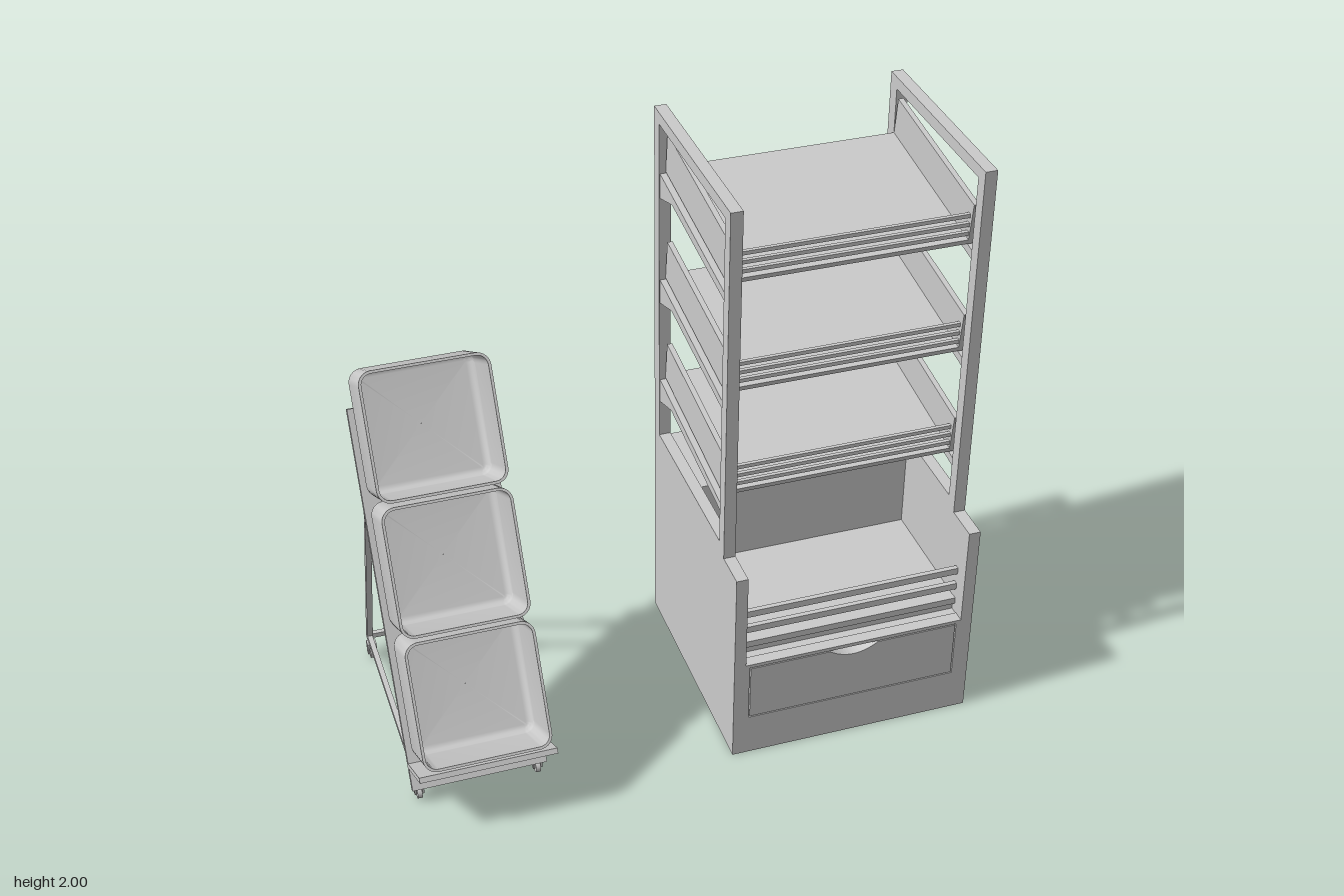
import * as THREE from 'three';
import { toCreasedNormals } from 'three/addons/utils/BufferGeometryUtils.js';

const grey = new THREE.MeshStandardMaterial({ color: 0xcccccc, side: THREE.DoubleSide });

function add(parent, name, geometry) {
  const mesh = new THREE.Mesh(geometry, grey);
  mesh.name = name;
  parent.add(mesh);
  return mesh;
}

// Box given by its limits on each axis
function box(parent, name, x0, x1, y0, y1, z0, z1) {
  const mesh = add(parent, name, new THREE.BoxGeometry(x1 - x0, y1 - y0, z1 - z0));
  mesh.position.set((x0 + x1) / 2, (y0 + y1) / 2, (z0 + z1) / 2);
  return mesh;
}

// Square bar between two points of the parent's space
function bar(parent, name, a, b, size = 0.02) {
  const from = new THREE.Vector3(...a), to = new THREE.Vector3(...b);
  const mesh = add(parent, name, new THREE.BoxGeometry(size, size, from.distanceTo(to)));
  const dir = to.clone().sub(from).normalize();
  mesh.quaternion.setFromUnitVectors(new THREE.Vector3(0, 0, 1), dir);
  mesh.position.copy(from).add(to).multiplyScalar(0.5);
  return mesh;
}

const outline = (pts) => new THREE.Shape(pts.map(([a, b]) => new THREE.Vector2(a, b)));

// Plate cut from a (z, y) profile, spanning x0 to x1
function plate(parent, name, shape, x0, x1) {
  const g = new THREE.ExtrudeGeometry(shape, { depth: x1 - x0, bevelEnabled: false });
  g.rotateY(-Math.PI / 2).translate(x1, 0, 0);
  return add(parent, name, g);
}

// Surface through rounded rectangles [halfWidth, halfHeight, cornerRadius, z]
function loftRings(rings) {
  const per = 8, n = 4 * (per + 1), pos = [], idx = [];
  for (const [hw, hh, r, z] of rings) {
    for (let c = 0; c < 4; c++) {
      const sx = c === 0 || c === 3 ? 1 : -1, sy = c < 2 ? 1 : -1;
      for (let i = 0; i <= per; i++) {
        const a = (c + i / per) * Math.PI / 2;
        pos.push(sx * (hw - r) + r * Math.cos(a), sy * (hh - r) + r * Math.sin(a), z);
      }
    }
  }
  for (let k = 0; k < rings.length - 1; k++) {
    for (let i = 0; i < n; i++) {
      const a = k * n + i, b = k * n + (i + 1) % n;
      idx.push(a, b, b + n, a, b + n, a + n);
    }
  }
  const g = new THREE.BufferGeometry();
  g.setAttribute('position', new THREE.Float32BufferAttribute(pos, 3));
  g.setIndex(idx);
  return toCreasedNormals(g, 0.6);
}

function createRack() {
  const rack = new THREE.Group();
  rack.name = 'displayRack';
  const L = 0.113, R = 0.955, T = 0.04, inL = L + T, inR = R - T;

  // Stepped side frames with a tall window
  const side = outline([[-0.43, 0], [0.415, 0], [0.415, 0.74], [0.29, 0.74], [0.29, 2], [-0.43, 2]]);
  side.holes.push(outline([[-0.38, 0.78], [-0.38, 1.96], [0.245, 1.96], [0.245, 0.78]]));
  for (const x of [L, inR]) plate(rack, 'sideFrame', side, x, x + T);

  // Sloping shelves with cheek boards, brackets and front rails
  for (let i = 0; i < 3; i++) {
    const y = 0.935 + i * 0.39;
    const bracket = outline([[0.245, y - 0.04], [0.245, y - 0.01], [-0.38, y + 0.07],
      [-0.38, y - 0.018], [-0.26, y + 0.022]]);
    const cheek = outline([[0.215, y], [0.235, y + 0.145], [-0.363, y + 0.218], [-0.38, y + 0.075]]);
    for (const s of [0, 1]) {
      const x = s ? inR : L;
      plate(rack, 'shelfBracket', bracket, x + 0.003, x + T - 0.003);
      plate(rack, 'shelfCheek', cheek, s ? inR : inL - 0.018, s ? inR + 0.018 : inL);
    }
    plate(rack, 'shelf', outline([[0.215, y], [0.217, y + 0.015], [-0.38, y + 0.09], [-0.38, y + 0.075]]), inL, inR);
    for (const h of [0.036, 0.067, 0.098]) {
      box(rack, 'shelfRail', inL, inR, y + h - 0.0065, y + h + 0.0065, 0.203, 0.216);
    }
  }

  // Base cabinet: deep back, floor, bin floor and bin rails
  box(rack, 'cabinetBack', inL, inR, 0, 0.74, -0.43, -0.1);
  box(rack, 'cabinetFloor', inL, inR, 0, 0.02, -0.1, 0.375);
  box(rack, 'binFloor', inL, inR, 0.375, 0.43, -0.1, 0.343);
  for (const y of [0.42, 0.482, 0.546]) box(rack, 'binRail', inL, inR, y - 0.012, y + 0.012, 0.343, 0.36);

  // Front panel with an opening, and a drawer with a finger notch
  const panel = outline([[inL, 0], [inR, 0], [inR, 0.38], [inL, 0.38]]);
  panel.holes.push(outline([[0.166, 0.153], [0.166, 0.367], [0.899, 0.367], [0.899, 0.153]]));
  const front = { depth: 0.04, bevelEnabled: false, curveSegments: 16 };
  add(rack, 'frontPanel', new THREE.ExtrudeGeometry(panel, front)).position.z = 0.375;
  const drawer = outline([[0.17, 0.157], [0.895, 0.157], [0.895, 0.363], [0.617, 0.363]]);
  drawer.quadraticCurveTo(0.532, 0.305, 0.447, 0.363);
  drawer.lineTo(0.17, 0.363);
  add(rack, 'drawerFront', new THREE.ExtrudeGeometry(drawer, front)).position.z = 0.375;
  box(rack, 'drawerBacking', inL, inR, 0.13, 0.375, 0.343, 0.375);
  return rack;
}

function createTrolley() {
  const trolley = new THREE.Group();
  trolley.name = 'binTrolley';
  trolley.position.x = -0.729;

  // Leaning board with ledge; local y runs up the board, z out of it
  const lean = new THREE.Group();
  lean.name = 'leaningBoard';
  lean.position.set(0, 1.26, -0.37);
  lean.rotation.x = -Math.PI / 6;
  trolley.add(lean);
  box(lean, 'board', -0.226, 0.226, -1.382, -0.122, -0.025, 0);
  box(lean, 'ledge', -0.226, 0.226, -1.308, -1.29, 0, 0.221);

  // Three open bins with rounded backs
  const w = 0.21, h = 0.2085, d = 0.257, r = 0.045, t = 0.009;
  const rings = [[0.001, 0.001, 0.001, 0]];
  for (let i = 0; i <= 6; i++) {
    const a = i / 6 * Math.PI / 2, inset = 0.03 * (1 - Math.sin(a));
    rings.push([w - inset, h - inset, r - inset, 0.03 * (1 - Math.cos(a))]);
  }
  rings.push([w, h, r, d], [w - t, h - t, r - t, d]);
  for (let i = 6; i >= 0; i--) {
    const a = i / 6 * Math.PI / 2, inset = t + 0.025 * (1 - Math.sin(a));
    rings.push([w - inset, h - inset, r - inset, t + 0.025 * (1 - Math.cos(a))]);
  }
  rings.push([0.001, 0.001, 0.001, t]);
  const binGeometry = loftRings(rings);
  for (let i = 0; i < 3; i++) add(lean, 'bin', binGeometry).position.y = -0.2065 - 0.43 * i;

  // Rear legs, base bars and casters on both sides
  const wheel = new THREE.CylinderGeometry(0.022, 0.022, 0.016, 20).rotateZ(Math.PI / 2);
  for (const s of [-1, 1]) {
    const x = s * 0.2;
    bar(trolley, 'rearLeg', [x, 0.94, -0.203], [x, 0.07, -0.483]);
    bar(trolley, 'baseBar', [x, 0.072, -0.485], [x, 0.072, 0.31], 0.018);
    for (const z of [-0.455, 0.285]) {
      add(trolley, 'casterWheel', wheel).position.set(x, 0.022, z);
      for (const k of [-1, 1]) {
        box(trolley, 'casterFork', x + k * 0.013 - 0.003, x + k * 0.013 + 0.003, 0.02, 0.055, z - 0.011, z + 0.011);
      }
      box(trolley, 'casterMount', x - 0.016, x + 0.016, 0.047, 0.066, z - 0.014, z + 0.014);
    }
  }
  bar(trolley, 'legTopBar', [-0.21, 0.93, -0.206], [0.21, 0.93, -0.206]);
  bar(trolley, 'baseRearBar', [-0.21, 0.072, -0.486], [0.21, 0.072, -0.486], 0.018);
  bar(trolley, 'baseFrontBar', [-0.21, 0.078, 0.29], [0.21, 0.078, 0.29], 0.018);
  return trolley;
}

export function createModel() {
  const model = new THREE.Group();
  model.name = 'displayStands';
  model.add(createRack(), createTrolley());
  return model;
}
